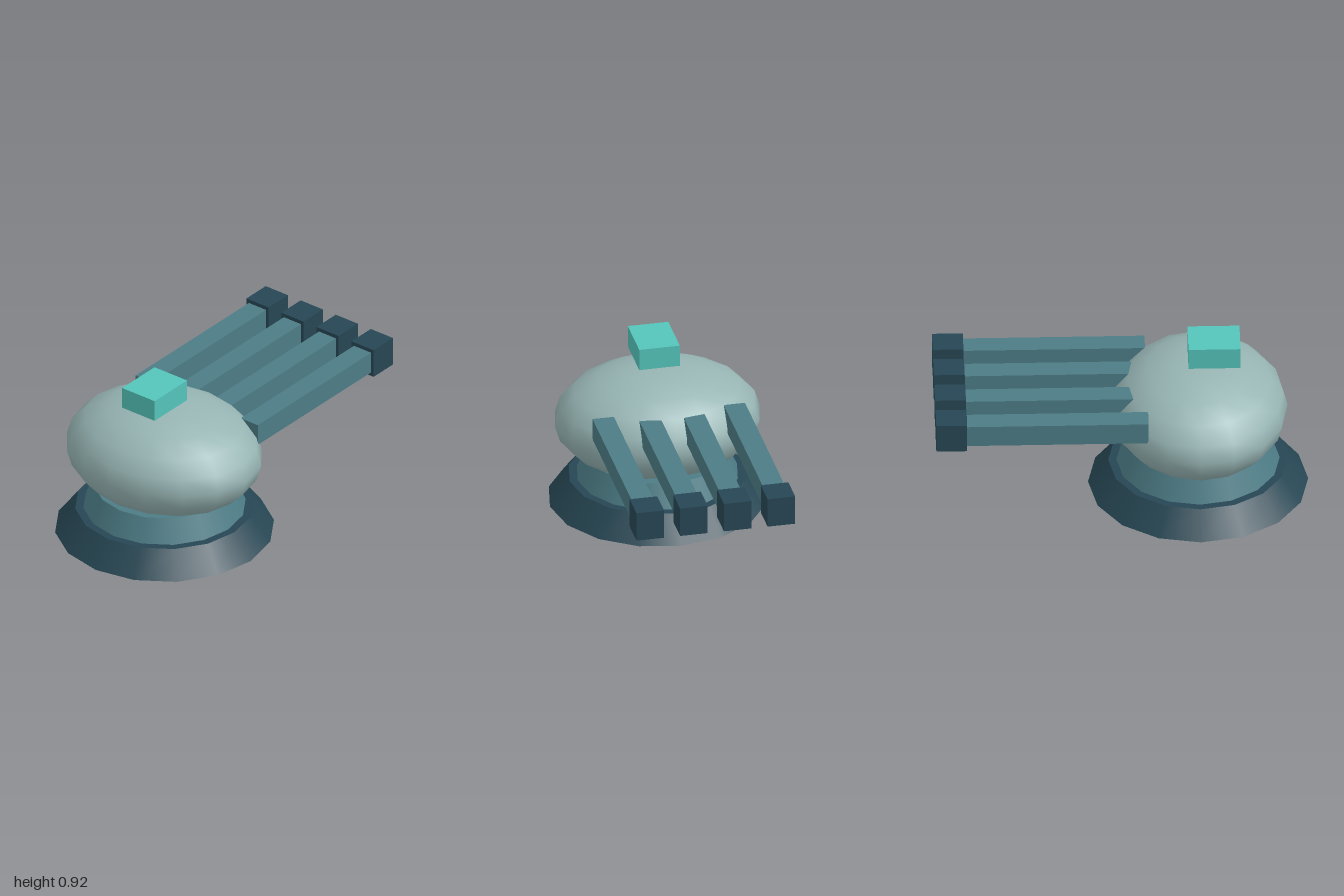
import * as THREE from 'three';

const DARK = 0x264653, TEAL = 0x4d7c86, PALE = 0x96b4b3, BRIGHT = 0x54c4ba;
const CENTRE_Z = 0.41;

export function createModel() {
  const group = new THREE.Group();

  const add = (name, geometry, color, x, y, z) => {
    const mesh = new THREE.Mesh(geometry, new THREE.MeshStandardMaterial({ color }));
    mesh.name = name;
    mesh.position.set(x, y, z);
    group.add(mesh);
    return mesh;
  };

  // Sloping foot and the collar that carries the turret
  add('base', new THREE.CylinderGeometry(0.48, 0.588, 0.14, 16), DARK, 0, 0.07, CENTRE_Z);
  add('collar', new THREE.CylinderGeometry(0.378, 0.436, 0.13, 16), TEAL, 0, 0.205, CENTRE_Z);

  // Flattened, wide turret
  const turret = add('turret', new THREE.SphereGeometry(1, 16, 10), PALE, 0, 0.48, CENTRE_Z + 0.003);
  turret.scale.set(0.56, 0.294, 0.475);

  // Block hovering above the turret
  add('sightBlock', new THREE.BoxGeometry(0.222, 0.122, 0.278), BRIGHT, 0, 0.859, 0.495);

  // Four square barrels with muzzles, pointing backwards
  for (const x of [-0.359, -0.12, 0.12, 0.359]) {
    add('barrel', new THREE.BoxGeometry(0.117, 0.122, 1.02), TEAL, x, 0.592, -0.375);
    add('muzzle', new THREE.BoxGeometry(0.151, 0.165, 0.165), DARK, x, 0.592, -0.9175);
  }

  return group;
}
